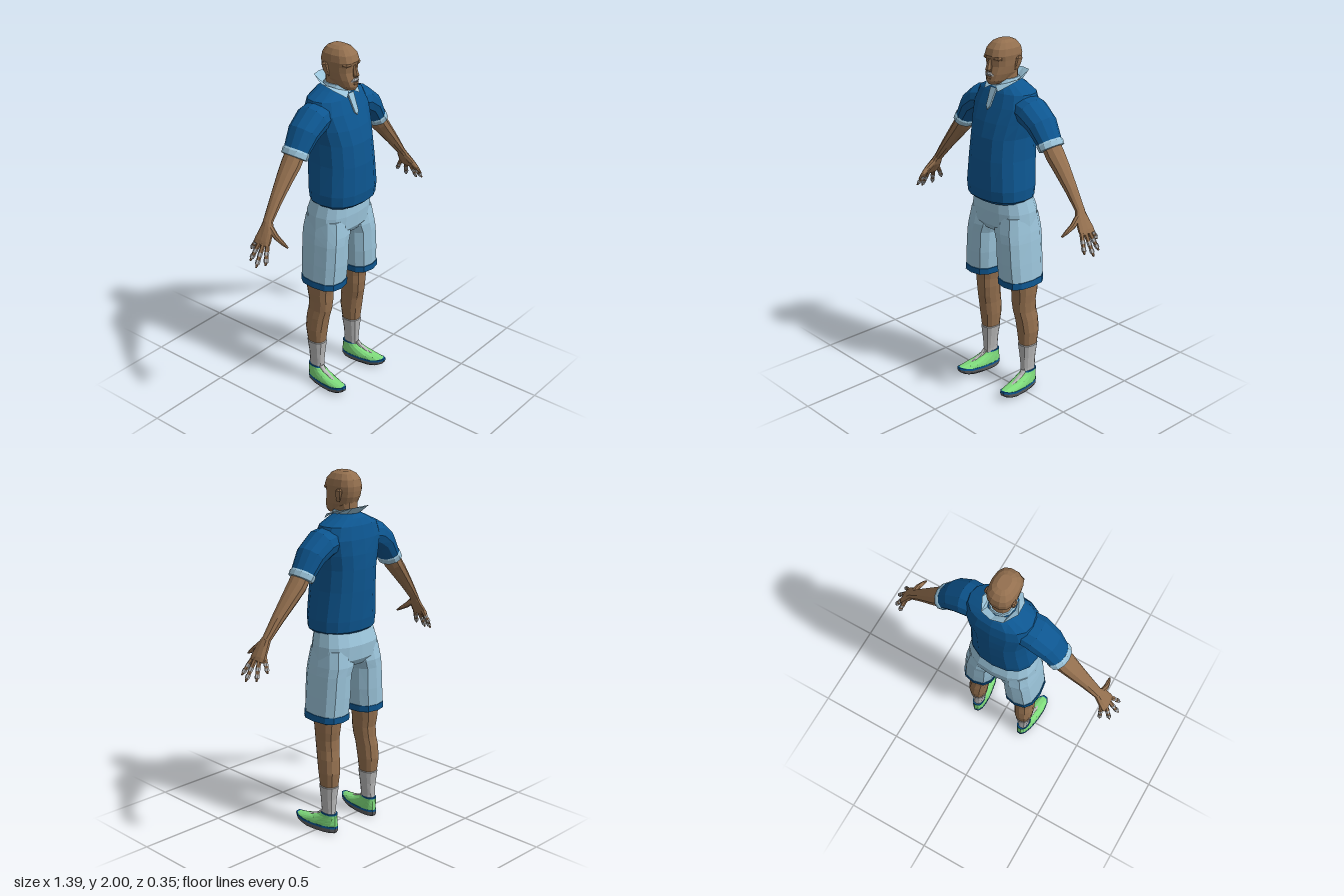
import * as THREE from 'three';

const material = (name, color) => {
  const m = new THREE.MeshStandardMaterial({ color });
  m.name = name;
  return m;
};

// Closed skin over rings of points; rings follow the axis, caps close both ends
function skin(rings) {
  const n = rings[0].length, pos = [], idx = [];
  rings.forEach(r => r.forEach(p => pos.push(p.x, p.y, p.z)));
  for (let i = 0; i < rings.length - 1; i++) {
    for (let j = 0; j < n; j++) {
      const k = (j + 1) % n, a = i * n + j, b = i * n + k;
      idx.push(a, a + n, b, b, a + n, b + n);
    }
  }
  [0, rings.length - 1].forEach((i, end) => {
    const c = new THREE.Vector3();
    rings[i].forEach(p => c.addScaledVector(p, 1 / n));
    const m = pos.length / 3;
    pos.push(c.x, c.y, c.z);
    for (let j = 0; j < n; j++) {
      const a = i * n + j, b = i * n + (j + 1) % n;
      if (end) idx.push(m, b, a); else idx.push(m, a, b);
    }
  });
  const g = new THREE.BufferGeometry();
  g.setAttribute('position', new THREE.Float32BufferAttribute(pos, 3));
  g.setIndex(idx);
  return g;
}

const rounded = (v, e) => Math.sign(v) * Math.pow(Math.abs(v), e);

// Upright form from rows of [y, xMin, xMax, zMin, zMax], lowest first
function stack(rows, n = 12, e = 0.85) {
  return skin(rows.map(([y, x0, x1, z0, z1]) => Array.from({ length: n }, (_, j) => {
    const a = j / n * Math.PI * 2;
    return new THREE.Vector3((x0 + x1) / 2 + rounded(Math.cos(a), e) * (x1 - x0) / 2, y,
      (z0 + z1) / 2 + rounded(Math.sin(a), e) * (z1 - z0) / 2);
  })));
}

// Symmetric upright form from rows of [y, halfWidth, zMin, zMax]
const column = (rows, n, e) => stack(rows.map(([y, w, a, b]) => [y, -w, w, a, b]), n, e);

// Limb from stations of [x, y, z, thickness, depth], following its own path
function limb(stations, n = 10) {
  const pts = stations.map(s => new THREE.Vector3(s[0], s[1], s[2]));
  return skin(pts.map((c, i) => {
    const d = pts[Math.min(i + 1, pts.length - 1)].clone().sub(pts[Math.max(i - 1, 0)]).normalize();
    const v = new THREE.Vector3(0, 0, 1).addScaledVector(d, -d.z).normalize();
    const u = d.clone().cross(v);
    return Array.from({ length: n }, (_, j) => {
      const a = j / n * Math.PI * 2;
      return c.clone().addScaledVector(u, Math.cos(a) * stations[i][3])
        .addScaledVector(v, Math.sin(a) * stations[i][4]);
    });
  }));
}

export function createModel() {
  const brown = material('skin', 0x94704f);
  const blue = material('shirt blue', 0x0d5690);
  const pale = material('pale blue', 0x9ac3d9);
  const grey = material('sock grey', 0xb8b8b8);
  const green = material('shoe green', 0x7fdc7c);
  const dark = material('sole grey', 0x5c5c5e);
  pale.side = THREE.DoubleSide;

  const model = new THREE.Group();
  model.name = 'standingMan';

  const add = (name, mat, geo) => {
    const g = geo.index ? geo.toNonIndexed() : geo;
    g.computeVertexNormals();
    const mesh = new THREE.Mesh(g, mat);
    mesh.name = name;
    model.add(mesh);
  };
  // Adds a left part and its mirror image
  const pair = (name, mat, geo) => {
    const other = geo.clone().scale(-1, 1, 1);
    other.index.array.reverse();
    add('left' + name, mat, geo);
    add('right' + name, mat, other);
  };

  // Head and neck
  add('neck', brown, column([[1.70, 0.058, -0.1, 0.03], [1.79, 0.053, -0.095, 0.03], [1.86, 0.055, -0.095, 0.03]]));
  add('head', brown, column([
    [1.775, 0.028, 0.0, 0.085], [1.795, 0.047, -0.045, 0.094], [1.83, 0.062, -0.09, 0.09],
    [1.87, 0.07, -0.108, 0.08], [1.90, 0.073, -0.114, 0.082], [1.925, 0.076, -0.116, 0.09],
    [1.96, 0.07, -0.108, 0.078], [1.988, 0.052, -0.085, 0.05], [2.0, 0.03, -0.06, 0.025]], 14, 0.8));
  add('nose', brown, column([[1.845, 0.013, 0.07, 0.098], [1.856, 0.016, 0.07, 0.109], [1.91, 0.007, 0.07, 0.09]], 6));
  add('lowerLip', brown, column([[1.803, 0.016, 0.07, 0.097], [1.812, 0.02, 0.07, 0.099], [1.818, 0.018, 0.07, 0.096]], 8));
  add('moustache', grey, column([[1.822, 0.034, 0.05, 0.095], [1.83, 0.03, 0.055, 0.1], [1.84, 0.015, 0.06, 0.098]], 8));
  pair('Ear', brown, stack([[1.845, 0.064, 0.07, -0.055, -0.03], [1.875, 0.062, 0.081, -0.068, -0.03],
    [1.905, 0.062, 0.086, -0.075, -0.035], [1.915, 0.064, 0.08, -0.065, -0.045]], 8));
  pair('Brow', brown, stack([[1.903, 0.012, 0.058, 0.03, 0.077], [1.912, 0.008, 0.062, 0.03, 0.084],
    [1.92, 0.01, 0.06, 0.03, 0.08]], 8));

  // Shirt body
  add('shirt', blue, column([
    [1.14, 0.165, -0.13, 0.135], [1.16, 0.188, -0.15, 0.158], [1.22, 0.191, -0.158, 0.165],
    [1.38, 0.174, -0.17, 0.16], [1.5, 0.17, -0.176, 0.145], [1.58, 0.185, -0.176, 0.122],
    [1.66, 0.2, -0.17, 0.09], [1.73, 0.175, -0.155, 0.06], [1.765, 0.1, -0.135, 0.04],
    [1.785, 0.06, -0.11, 0.02]], 16));

  // Sleeves with pale cuffs
  pair('Sleeve', blue, limb([[0.08, 1.665, -0.045, 0.075, 0.09], [0.19, 1.64, -0.04, 0.08, 0.097],
    [0.262, 1.59, -0.04, 0.07, 0.09], [0.322, 1.505, -0.04, 0.054, 0.074]], 12));
  pair('Cuff', pale, limb([[0.316, 1.515, -0.04, 0.055, 0.074], [0.322, 1.505, -0.04, 0.06, 0.08],
    [0.337, 1.482, -0.04, 0.057, 0.078], [0.339, 1.479, -0.04, 0.048, 0.068]], 12));

  // Collar band, turned collar and placket
  add('collarBand', pale, column([[1.755, 0.078, -0.118, 0.05], [1.797, 0.06, -0.102, 0.036]]));
  const inner = [[0, 1.785, -0.11], [0.055, 1.785, -0.09], [0.072, 1.785, -0.04], [0.06, 1.78, 0.02], [0.012, 1.765, 0.055]];
  const outer = [[0, 1.825, -0.155], [0.06, 1.825, -0.14], [0.1, 1.803, -0.06], [0.092, 1.778, 0.02], [0.052, 1.742, 0.076]];
  const strip = new THREE.BufferGeometry();
  strip.setAttribute('position', new THREE.Float32BufferAttribute(inner.flatMap((p, i) => [...p, ...outer[i]]), 3));
  strip.setIndex([0, 1, 2, 3].flatMap(i => [2 * i, 2 * i + 2, 2 * i + 1, 2 * i + 1, 2 * i + 2, 2 * i + 3]));
  pair('Collar', pale, strip);
  const placket = new THREE.Shape([[-0.022, 0.12], [-0.014, 0.02], [0, 0], [0.014, 0.02], [0.022, 0.12]]
    .map(p => new THREE.Vector2(...p)));
  add('placket', pale, new THREE.ExtrudeGeometry(placket, { depth: 0.009, bevelEnabled: false })
    .rotateX(-0.4).translate(0, 1.64, 0.097));

  // Bare arms and palms
  pair('Arm', brown, limb([[0.3, 1.54, -0.04, 0.043, 0.058], [0.365, 1.447, -0.04, 0.046, 0.058],
    [0.41, 1.395, -0.038, 0.042, 0.05], [0.49, 1.3, -0.032, 0.032, 0.037], [0.568, 1.2, -0.025, 0.02, 0.028]]));
  pair('Palm', brown, limb([[0.56, 1.212, -0.025, 0.02, 0.027], [0.582, 1.17, -0.018, 0.021, 0.042],
    [0.615, 1.118, -0.018, 0.017, 0.053], [0.628, 1.1, -0.018, 0.012, 0.05]]));

  // Fingers with grey bands
  const fingers = [
    ['Index', [0.618, 1.112, 0.018], [0.672, 1.02, 0.05]],
    ['Middle', [0.625, 1.108, -0.005], [0.69, 1.0, 0.0]],
    ['Ring', [0.622, 1.11, -0.032], [0.668, 1.01, -0.06]],
    ['Little', [0.605, 1.122, -0.055], [0.622, 1.05, -0.094]]];
  for (const [name, from, to] of fingers) {
    const at = (t, r) => [...from.map((v, i) => v + (to[i] - v) * t), r, r];
    pair(name + 'Finger', brown, limb([at(-0.1, 0.012), at(0.5, 0.0115), at(0.85, 0.009), at(1, 0.004)], 6));
    for (const t of [0.36, 0.68]) pair(name + 'Band', grey, limb([at(t, 0.013), at(t + 0.17, 0.012)], 6));
  }
  pair('Thumb', brown, limb([[0.575, 1.18, 0.0, 0.017, 0.02], [0.58, 1.145, 0.045, 0.014, 0.016],
    [0.575, 1.12, 0.085, 0.011, 0.011], [0.57, 1.102, 0.113, 0.005, 0.005]], 8));

  // Shorts: seat, legs and blue hems
  add('shortsSeat', pale, column([[0.965, 0.17, -0.13, 0.085], [1.0, 0.199, -0.155, 0.108],
    [1.08, 0.193, -0.16, 0.112], [1.17, 0.172, -0.13, 0.105]], 16, 0.8));
  pair('ShortsLeg', pale, stack([[0.69, 0.04, 0.228, -0.145, 0.106], [0.8, 0.03, 0.22, -0.15, 0.112],
    [0.92, 0.026, 0.21, -0.152, 0.112], [0.97, 0.005, 0.204, -0.155, 0.11], [1.06, 0.0, 0.19, -0.14, 0.095]], 12, 0.75));
  pair('Hem', blue, stack([[0.66, 0.044, 0.226, -0.138, 0.1], [0.664, 0.036, 0.234, -0.147, 0.11],
    [0.7, 0.034, 0.231, -0.149, 0.111]], 12, 0.75));

  // Bare legs and socks
  pair('Leg', brown, stack([[0.26, 0.112, 0.198, -0.108, -0.006], [0.36, 0.1, 0.209, -0.12, 0.005],
    [0.44, 0.097, 0.206, -0.115, 0.018], [0.49, 0.092, 0.2, -0.106, 0.03], [0.55, 0.085, 0.203, -0.102, 0.036],
    [0.6, 0.083, 0.208, -0.11, 0.038], [0.7, 0.07, 0.214, -0.122, 0.05]]));
  pair('Sock', grey, stack([[0.06, 0.127, 0.187, -0.105, -0.01], [0.13, 0.127, 0.187, -0.1, -0.012],
    [0.2, 0.118, 0.194, -0.102, -0.008], [0.275, 0.107, 0.203, -0.113, 0.0], [0.28, 0.11, 0.2, -0.11, -0.003]]));

  // Shoes: layers share one toe lift and turn slightly outwards
  const shoe = (name, mat, rows) => {
    const g = column(rows, 14, 0.85), p = g.attributes.position;
    for (let i = 0; i < p.count; i++) {
      const lift = Math.max(0, p.getZ(i) - 0.12);
      p.setY(i, p.getY(i) + lift * lift * 1.6);
    }
    pair(name, mat, g.rotateY(0.12).translate(0.158, 0, -0.06));
  };
  shoe('Sole', dark, [[0, 0.036, -0.048, 0.2], [0.012, 0.045, -0.055, 0.228], [0.028, 0.046, -0.056, 0.234]]);
  shoe('SoleStripe', blue, [[0.028, 0.0465, -0.057, 0.234], [0.04, 0.046, -0.056, 0.232]]);
  shoe('ShoeUpper', green, [[0.038, 0.045, -0.055, 0.23], [0.055, 0.043, -0.054, 0.19],
    [0.073, 0.039, -0.052, 0.12], [0.092, 0.035, -0.05, 0.07], [0.11, 0.033, -0.05, 0.045]]);
  shoe('ShoeCollar', blue, [[0.106, 0.0345, -0.051, 0.05], [0.114, 0.034, -0.05, 0.046]]);
  shoe('ShoeTongue', grey, [[0.06, 0.014, 0.02, 0.165], [0.078, 0.014, 0.02, 0.118],
    [0.097, 0.015, 0.02, 0.074], [0.12, 0.016, 0.02, 0.052]]);

  return model;
}
